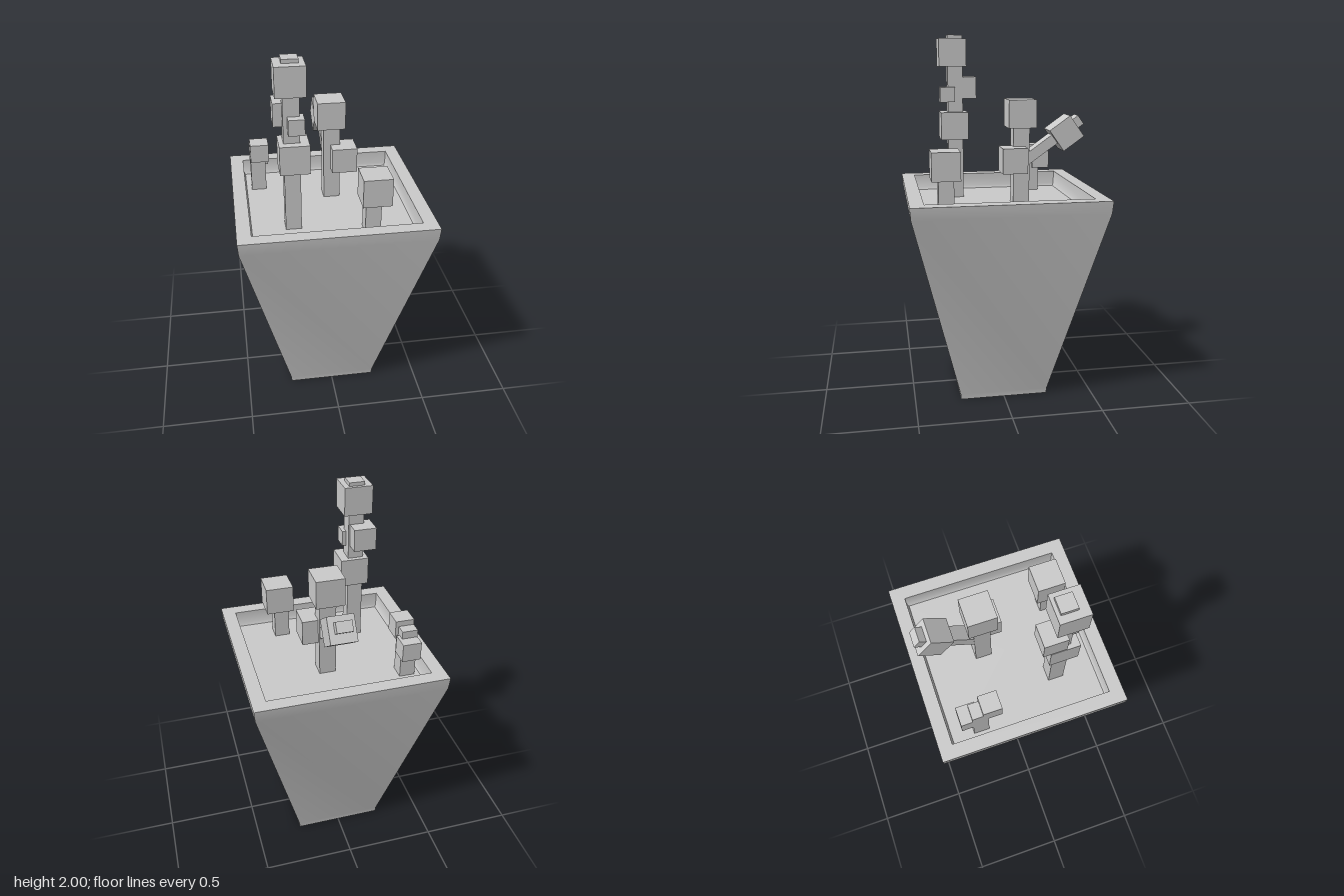
import * as THREE from 'three';
import { toCreasedNormals } from 'three/addons/utils/BufferGeometryUtils.js';

const SOIL = 1.08;

export function createModel() {
  const model = new THREE.Group();
  const material = new THREE.MeshStandardMaterial({ color: 0xcccccc });

  function group(name) {
    const g = new THREE.Group();
    g.name = name;
    model.add(g);
    return g;
  }

  function box(parent, name, [w, h, d], [x, y, z]) {
    const mesh = new THREE.Mesh(new THREE.BoxGeometry(w, h, d), material);
    mesh.name = name;
    mesh.position.set(x, y, z);
    parent.add(mesh);
    return mesh;
  }

  const cube = (parent, name, s, position) => box(parent, name, [s, s, s], position);

  // Square stem rising from just under the soil
  function stem(parent, w, x, z, top) {
    const bottom = SOIL - 0.02;
    return box(parent, 'stem', [w, top - bottom, w], [x, (top + bottom) / 2, z]);
  }

  // Tapered square pot with rim and soil: half-width and height pairs swept in four sides
  const profile = [
    [0, 0], [0.245, 0], [0.247, 0.03], [0.51, 1.105], [0.515, 1.17],
    [0.44, 1.17], [0.438, 1.095], [0.43, SOIL], [0, SOIL],
  ].map(([r, y]) => new THREE.Vector2(r * Math.SQRT2, y));
  const potGeometry = new THREE.LatheGeometry(profile, 4, Math.PI / 4);
  const pot = new THREE.Mesh(toCreasedNormals(potGeometry, 0.6), material);
  pot.name = 'planterPot';
  model.add(pot);

  // Tall plant with four blocks
  const tall = group('tallPlant');
  stem(tall, 0.084, -0.208, 0.211, 2);
  cube(tall, 'topBlock', 0.153, [-0.213, 1.904, 0.227]);
  cube(tall, 'backBlock', 0.122, [-0.235, 1.709, 0.151]);
  cube(tall, 'smallBlock', 0.083, [-0.187, 1.672, 0.257]);
  cube(tall, 'lowerBlock', 0.154, [-0.198, 1.497, 0.22]);

  // Short plant near the front
  const short = group('shortPlant');
  stem(short, 0.083, 0.198, 0.309, 1.3);
  cube(short, 'topBlock', 0.153, [0.21, 1.329, 0.312]);

  // Middle plant with a tilted arm
  const middle = group('middlePlant');
  stem(middle, 0.09, 0.045, -0.122, 1.55);
  cube(middle, 'topBlock', 0.153, [0.039, 1.58, -0.124]);
  cube(middle, 'sideBlock', 0.138, [0.106, 1.333, -0.073]);

  const arm = group('tiltedArm');
  arm.position.set(0.044, 1.305, -0.122);
  arm.rotation.x = THREE.MathUtils.degToRad(35.5);
  box(arm, 'armBranch', [0.084, 0.057, 0.41], [0, 0, -0.205]);
  cube(arm, 'armBlock', 0.139, [0.002, -0.009, -0.299]);

  // Small plant in the back corner
  const corner = group('cornerPlant');
  stem(corner, 0.084, -0.359, -0.267, 1.36);
  cube(corner, 'frontBlock', 0.101, [-0.351, 1.34, -0.2]);
  cube(corner, 'rearBlock', 0.101, [-0.351, 1.268, -0.32]);

  return model;
}
